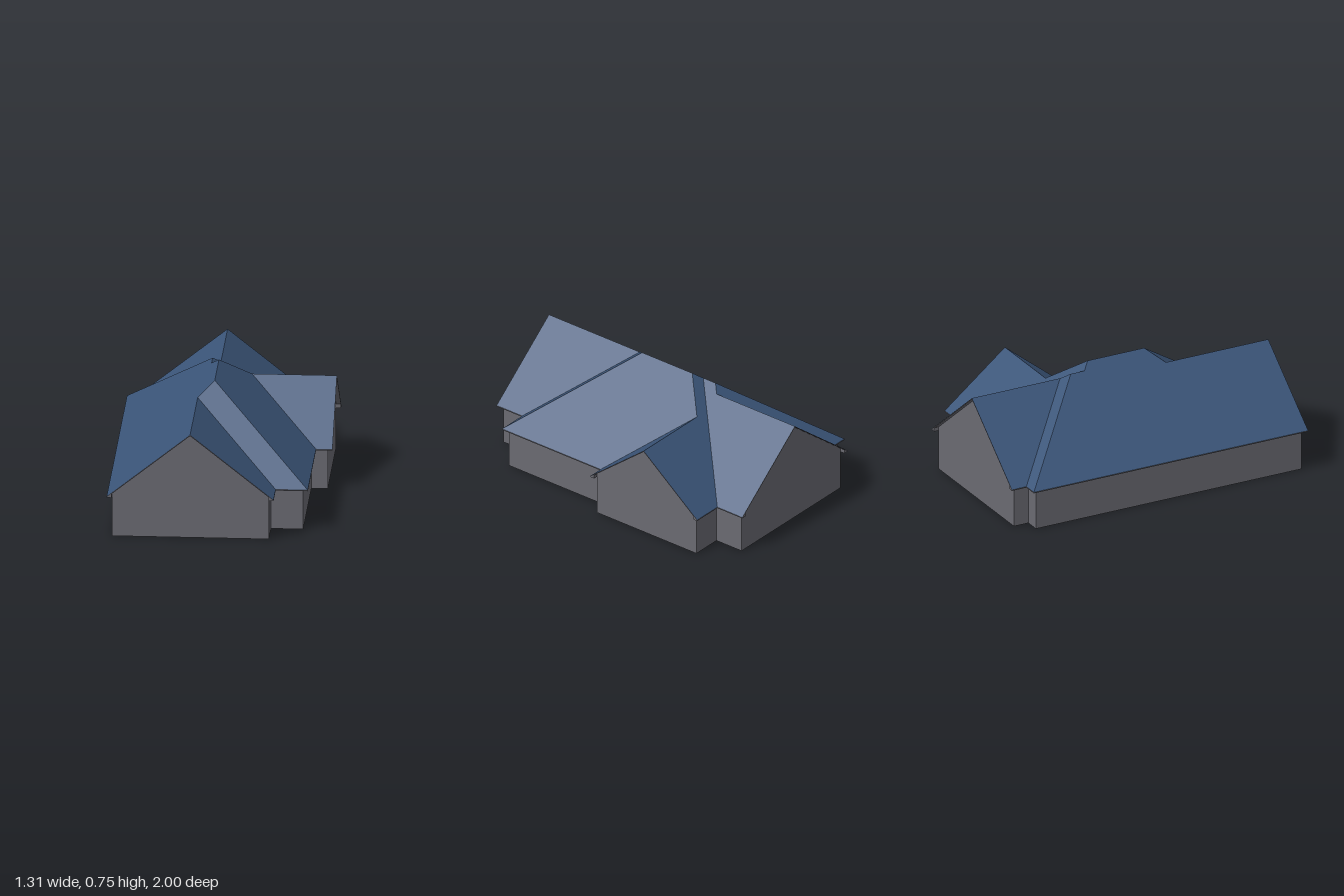
import * as THREE from 'three';

const EAVE = 0.262, SLOPE = 0.8, THICK = 0.007, HANG = 0.03;

export function createModel() {
  const house = new THREE.Group();
  house.name = 'house';
  const roofMat = new THREE.MeshStandardMaterial({ color: 0x3a5478, side: THREE.DoubleSide });
  roofMat.name = 'blue roof';
  const wallMat = new THREE.MeshStandardMaterial({ color: 0x6a6a72, side: THREE.DoubleSide });
  wallMat.name = 'grey wall';

  const add = (geometry, material, name) => {
    const mesh = new THREE.Mesh(geometry, material);
    mesh.name = name;
    house.add(mesh);
    return mesh;
  };

  // Roof plane: plan outline [x, z], rising away from an eave line on one axis
  const roofPlane = (name, axis, eave, plan) => {
    const shape = new THREE.Shape(plan.map(([x, z]) => new THREE.Vector2(x, -z)));
    const geo = new THREE.ShapeGeometry(shape).rotateX(-Math.PI / 2);
    const p = geo.attributes.position;
    for (let i = 0; i < p.count; i++) {
      const c = axis === 'x' ? p.getX(i) : p.getZ(i);
      p.setY(i, EAVE + SLOPE * Math.abs(c - eave));
    }
    geo.computeVertexNormals();
    add(geo, roofMat, name);
  };

  roofPlane('mainRoofRight', 'x', -0.657, [[-0.657, 1], [-0.148, 1], [-0.148, 0.291], [-0.05, 0.193],
    [-0.05, -0.198], [-0.098, -0.246], [-0.098, -0.341], [-0.657, -0.9]]);
  roofPlane('mainRoofLeft', 'x', 0.557, [[-0.05, 0.193], [0.557, 0.8], [0.557, 0.03],
    [0.1395, -0.3875], [-0.05, -0.198]]);
  roofPlane('frontRoofLeft', 'x', 0.361, [[-0.148, 1], [0.361, 1], [0.361, 0.8], [-0.148, 0.291]]);
  roofPlane('frontHip', 'z', 0.8, [[0.361, 0.8], [0.557, 0.8], [-0.05, 0.193], [-0.148, 0.291]]);
  roofPlane('wingRoofFront', 'z', 0.03, [[0.557, 0.03], [0.657, 0.03], [0.657, -0.3875], [0.1395, -0.3875]]);
  roofPlane('wingRoofBack', 'z', -0.805, [[0.657, -0.3875], [0.657, -0.805], [0.461, -0.805],
    [-0.098, -0.246], [-0.05, -0.198], [0.1395, -0.3875]]);
  roofPlane('backRoofLeft', 'x', 0.461, [[-0.05, -1], [-0.05, -0.389], [-0.098, -0.341],
    [-0.098, -0.246], [0.461, -0.805], [0.461, -1]]);
  roofPlane('backRoofRight', 'x', -0.561, [[-0.561, -1], [-0.561, -0.9], [-0.05, -0.389], [-0.05, -1]]);
  roofPlane('backHip', 'z', -0.9, [[-0.657, -0.9], [-0.098, -0.341], [-0.05, -0.389], [-0.561, -0.9]]);

  // Walls: footprint corners; a third value marks a gable from here to the next corner, giving its half span
  const corners = [
    [-0.627, 0.97, 0.509], [0.331, 0.97], [0.331, 0.77], [0.527, 0.77], [0.527, 0], [0.627, 0, 0.4175],
    [0.627, -0.775], [0.431, -0.775], [0.431, -0.97, 0.511], [-0.531, -0.97], [-0.531, -0.87], [-0.627, -0.87],
  ];
  corners.forEach(([ax, az, half], i) => {
    const [bx, bz] = corners[(i + 1) % corners.length];
    const len = Math.hypot(bx - ax, bz - az);
    const top = EAVE - THICK;
    const outline = half
      ? [[0, 0], [len, 0], [len, top + SLOPE * HANG], [len / 2, EAVE + SLOPE * half - 0.004], [0, top + SLOPE * HANG]]
      : [[0, 0], [len, 0], [len, top], [0, top]];
    const shape = new THREE.Shape(outline.map(([x, y]) => new THREE.Vector2(x, y)));
    const wall = add(new THREE.ShapeGeometry(shape), wallMat, half ? 'gableWall' : 'wall');
    wall.position.set(ax, 0, az);
    wall.rotation.y = Math.atan2(az - bz, bx - ax);
  });

  // Gable trim: sloping rim and soffit with boxed corners
  const gableTrim = (name, half, x, z, turn) => {
    const ridge = EAVE + SLOPE * half, low = EAVE - THICK, inner = half - HANG;
    const shape = new THREE.Shape([
      [-half, low], [-inner, low], [-inner, low + SLOPE * HANG], [0, ridge - THICK],
      [inner, low + SLOPE * HANG], [inner, low], [half, low],
      [half, EAVE - 0.001], [0, ridge - 0.001], [-half, EAVE - 0.001],
    ].map(([px, py]) => new THREE.Vector2(px, py)));
    const geo = new THREE.ExtrudeGeometry(shape, { depth: HANG, bevelEnabled: false });
    const trim = add(geo.translate(0, 0, -HANG), wallMat, name);
    trim.position.set(x, 0, z);
    trim.rotation.y = turn;
  };
  gableTrim('frontGableTrim', 0.509, -0.148, 1, 0);
  gableTrim('wingGableTrim', 0.4175, 0.657, -0.3875, Math.PI / 2);
  gableTrim('backGableTrim', 0.511, -0.05, -1, Math.PI);

  // Eave soffits: x0, x1, z0, z1
  for (const [x0, x1, z0, z1] of [
    [-0.657, -0.627, -0.9, 1], [0.331, 0.361, 0.77, 1], [0.331, 0.557, 0.77, 0.8],
    [0.527, 0.557, 0, 0.8], [0.527, 0.657, 0, 0.03], [0.431, 0.657, -0.805, -0.775],
    [0.431, 0.461, -1, -0.775], [-0.561, -0.531, -1, -0.87], [-0.657, -0.531, -0.9, -0.87],
  ]) {
    const h = THICK - 0.001;
    const soffit = add(new THREE.BoxGeometry(x1 - x0, h, z1 - z0), wallMat, 'eaveSoffit');
    soffit.position.set((x0 + x1) / 2, EAVE - THICK + h / 2, (z0 + z1) / 2);
  }
  return house;
}
